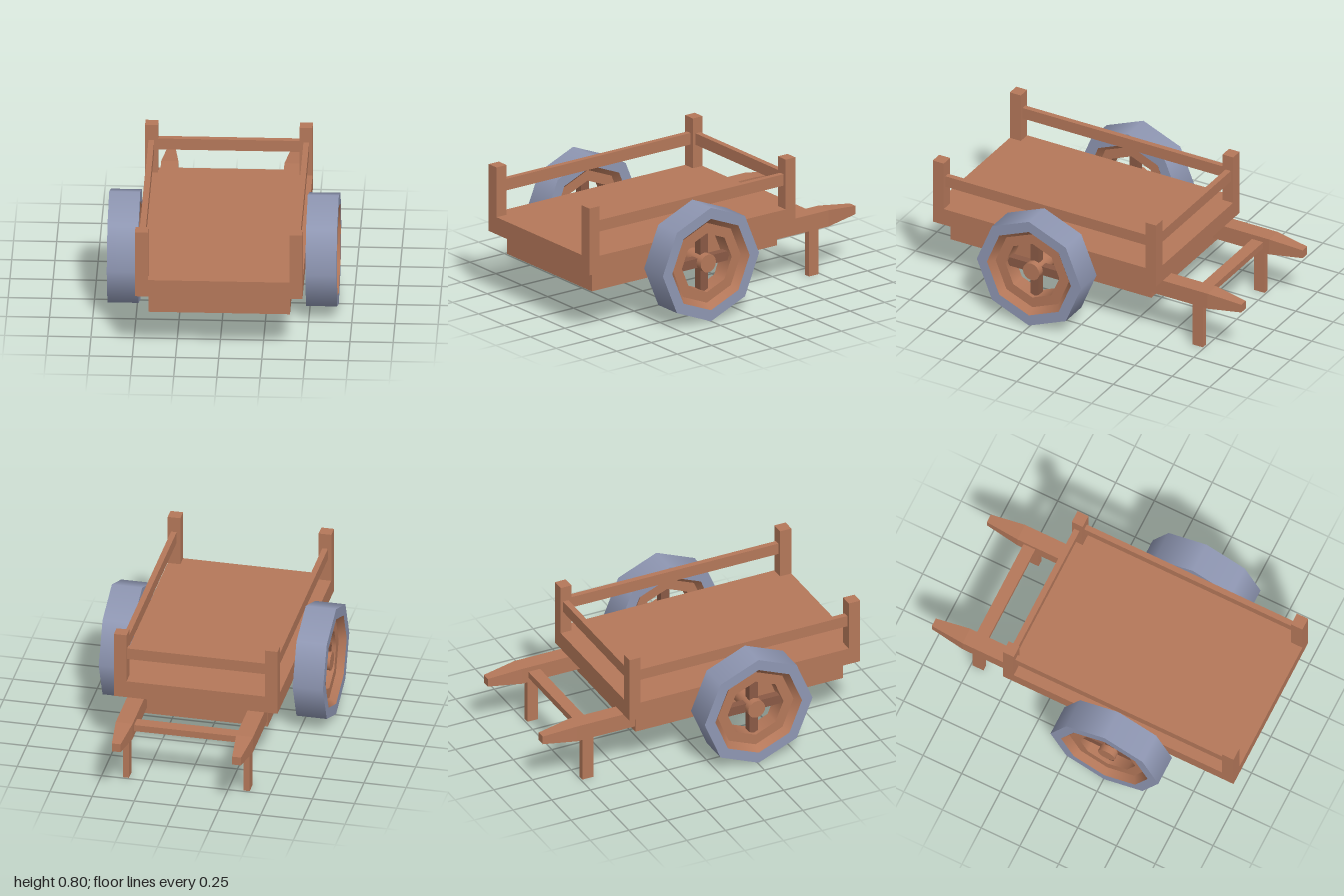
import * as THREE from 'three';
import { mergeGeometries } from 'three/addons/utils/BufferGeometryUtils.js';

export function createModel() {
  const cart = new THREE.Group();
  cart.name = 'handCart';

  const material = (name, color) => {
    const m = new THREE.MeshStandardMaterial({ color });
    m.name = name;
    return m;
  };
  const wood = material('wood', 0xb5785a);
  const darkWood = material('darkWood', 0x8a5a45);
  const tyreGrey = material('tyreGrey', 0x8f97b3);

  const add = (parent, name, geometry, mat) => {
    const mesh = new THREE.Mesh(geometry, mat);
    mesh.name = name;
    parent.add(mesh);
    return mesh;
  };
  // Box given by its extents along each axis
  const block = (name, [x0, x1], [y0, y1], [z0, z1], parent = cart, mat = wood) =>
    add(parent, name, new THREE.BoxGeometry(x1 - x0, y1 - y0, z1 - z0)
      .translate((x0 + x1) / 2, (y0 + y1) / 2, (z0 + z1) / 2), mat);
  // Extents mirrored to the given side
  const span = (s, a, b) => (s > 0 ? [a, b] : [-b, -a]);

  // Bed
  block('deck', [-0.485, 0.485], [0.39, 0.495], [-0.49, 1]);
  block('underBox', [-0.41, 0.41], [0.255, 0.39], [-0.415, 0.925]);
  block('backRail', [-0.41, 0.41], [0.635, 0.705], [-0.475, -0.44]);
  block('handleCrossbar', [-0.315, 0.315], [0.32, 0.36], [-0.75, -0.675]);

  // Octagonal ring surface around the x axis; each profile step keeps its own crease
  const ring = (profile) => {
    const strips = [];
    for (let i = 0; i < profile.length - 1; i++) {
      const pair = [profile[i], profile[i + 1]].map(([r, y]) => new THREE.Vector2(r, y));
      strips.push(new THREE.LatheGeometry(pair, 8));
    }
    return mergeGeometries(strips).rotateZ(-Math.PI / 2);
  };

  // Straight handle that narrows towards its tip
  const handleGeometry = () => {
    const g = new THREE.BoxGeometry(0.1, 0.1, 2, 1, 1, 2).toNonIndexed();
    const p = g.attributes.position;
    for (let i = 0; i < p.count; i++) {
      const z = p.getZ(i);
      const k = z < -0.5 ? 0.52 : 1;
      p.setXYZ(i, p.getX(i) * k, p.getY(i) * k, z < -0.5 ? -1 : z < 0.5 ? -0.79 : -0.41);
    }
    g.computeVertexNormals();
    return g;
  };

  for (const s of [1, -1]) {
    const side = s > 0 ? 'left' : 'right';

    // Corner posts and side rail
    block(side + 'FrontPost', span(s, 0.41, 0.485), [0.495, 0.8], [0.927, 1]);
    block(side + 'BackPost', span(s, 0.41, 0.485), [0.495, 0.8], [-0.49, -0.42]);
    block(side + 'SideRail', span(s, 0.432, 0.465), [0.635, 0.705], [-0.42, 0.927]);

    // Handle and prop leg
    add(cart, side + 'Handle', handleGeometry(), wood).position.set(s * 0.357, 0.34, 0);
    block(side + 'Leg', span(s, 0.34, 0.376), [0, 0.29], [-0.74, -0.67]);

    // Wheel
    const wheel = new THREE.Group();
    wheel.name = side + 'Wheel';
    wheel.position.set(s * 0.575, 0.35, 0.255);
    if (s < 0) wheel.rotation.y = Math.PI;
    cart.add(wheel);
    add(wheel, 'tyre', ring([[0.28, -0.09], [0.348, -0.09], [0.348, 0.09], [0.28, 0.09]]), tyreGrey);
    add(wheel, 'rim', ring([[0.28, 0.09], [0.245, 0.05], [0.18, 0.05],
      [0.18, -0.05], [0.245, -0.05], [0.28, -0.09]]), wood);
    block('uprightSpoke', [-0.025, 0.025], [-0.185, 0.185], [-0.028, 0.028], wheel, darkWood);
    block('levelSpoke', [-0.024, 0.024], [-0.028, 0.028], [-0.185, 0.185], wheel, darkWood);
    add(wheel, 'hubAndAxle', new THREE.CylinderGeometry(0.055, 0.055, 0.24, 16)
      .rotateZ(-Math.PI / 2).translate(-0.055, 0, 0), wood);
  }
  return cart;
}
